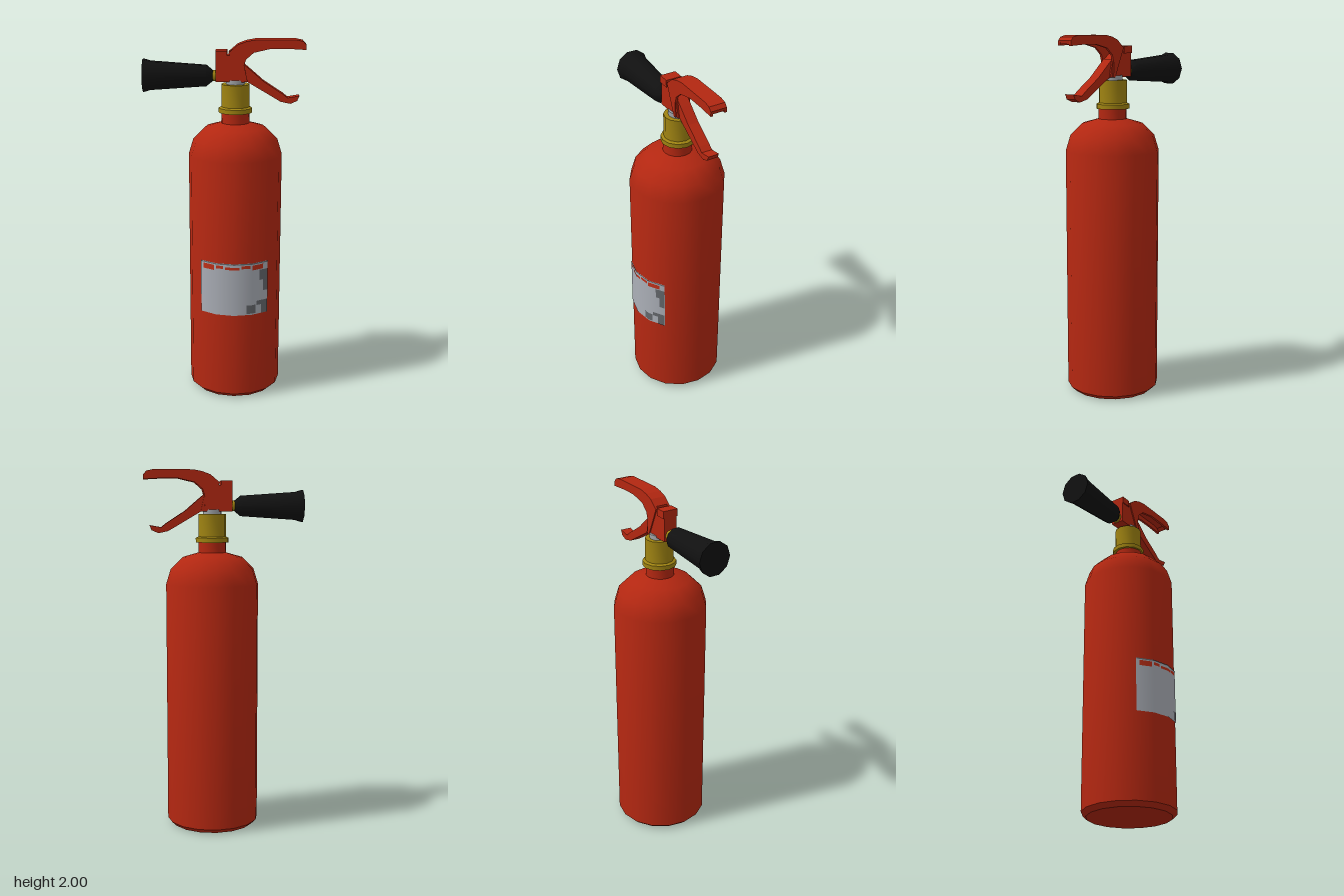
import * as THREE from 'three';
import { toCreasedNormals } from 'three/addons/utils/BufferGeometryUtils.js';

const AXIS = 0.058; // x of the cylinder's axis
const R = 0.258;    // tank radius

const mat = (name, color, side = THREE.FrontSide) => {
  const m = new THREE.MeshStandardMaterial({ color, side });
  m.name = name;
  return m;
};

export function createModel() {
  const group = new THREE.Group();
  const red = mat('red paint', 0xb32711);
  const brass = mat('brass', 0xa08412);
  const black = mat('black plastic', 0x111111, THREE.DoubleSide);
  const steel = mat('steel', 0xa0a4a8);
  const paper = mat('label paper', 0xacb0b8);
  const print = mat('label grey print', 0x65686c);
  const labelRed = mat('label red print', 0xc03018);

  const add = (name, geo, material, x = 0, y = 0, z = 0) => {
    const mesh = new THREE.Mesh(geo, material);
    mesh.name = name;
    mesh.position.set(x, y, z);
    group.add(mesh);
    return mesh;
  };
  const lathe = (pts, sides) =>
    toCreasedNormals(new THREE.LatheGeometry(pts.map(p => new THREE.Vector2(...p)), sides), 0.7);
  // Side outline in x/y, extruded from z0 to z1
  const slab = (pts, z0, z1) => {
    const shape = new THREE.Shape(pts.map(p => new THREE.Vector2(...p)));
    return new THREE.ExtrudeGeometry(shape, { depth: z1 - z0, bevelEnabled: false }).translate(0, 0, z0);
  };

  // Tank with rounded shoulder and neck
  add('tank', lathe([[0, 0], [0.232, 0], [R, 0.025], [R, 1.372], [0.232, 1.457], [0.166, 1.522],
    [0.078, 1.547], [0.076, 1.62]], 16), red, AXIS);

  // Brass collar and steel stem
  add('collar', lathe([[0.07, 1.603], [0.092, 1.603], [0.092, 1.628], [0.077, 1.635],
    [0.077, 1.758], [0, 1.758]], 12), brass, AXIS, 0, -0.004);
  add('stem', new THREE.CylinderGeometry(0.052, 0.052, 0.03, 12), steel, AXIS, 1.768, -0.004);

  // Valve block with a narrower cap
  add('valveBlock', slab([[-0.05, 1.773], [0.124, 1.773], [0.105, 1.86], [0.03, 1.915], [-0.05, 1.915]],
    -0.042, 0.034), red);
  add('valveCap', slab([[-0.05, 1.9], [0.012, 1.9], [0.012, 1.94], [-0.05, 1.94]], -0.048, 0.04), red);

  // Upper lever: a channel open below, made of two cheeks and a roof
  const top = [[0.02, 1.93], [0.034, 1.942], [0.07, 1.973], [0.115, 1.99], [0.167, 2], [0.385, 2], [0.42, 1.992], [0.437, 1.973]];
  const cheek = [...top, [0.437, 1.947], [0.35, 1.952], [0.246, 1.952], [0.156, 1.931], [0.114, 1.894],
    [0.1, 1.846], [0.105, 1.773], [0.09, 1.773]].reverse();
  add('upperLeverCheekLeft', slab(cheek, 0.028, 0.041), red);
  add('upperLeverCheekRight', slab(cheek, -0.049, -0.036), red);
  const roof = top.slice(1).concat(top.slice(1).reverse().map(([x, y]) => [x - 0.004, y - 0.018]));
  add('upperLeverRoof', slab(roof, -0.036, 0.028), red);

  // Lower lever with an upturned tip
  add('lowerLever', slab([[0.08, 1.773], [0.124, 1.772], [0.304, 1.666], [0.357, 1.655], [0.394, 1.671],
    [0.405, 1.698], [0.341, 1.687], [0.315, 1.708], [0.209, 1.777], [0.135, 1.841], [0.1, 1.87]],
    -0.034, 0.026), red);

  // Discharge horn pointing to -x, with a brass joint
  const horn = add('horn', lathe([[0, 0.065], [0.03, 0.065], [0.059, 0.1], [0.081, 0.405],
    [0.093, 0.445], [0, 0.445]], 10), black, 0, 1.803, -0.005);
  horn.rotation.z = Math.PI / 2;
  const joint = add('hornJoint', new THREE.CylinderGeometry(0.03, 0.03, 0.04, 10), brass, -0.06, 1.803, -0.005);
  joint.rotation.z = Math.PI / 2;

  // Thin plate following the tank's facets; x is measured from the axis
  const facets = [-2, -1, 0, 1, 2].map(i => i * Math.PI / 8);
  const wrap = (name, x0, x1, y0, y1, lift, material) => {
    const r = R + lift;
    const xs = [x0, ...facets.map(a => r * Math.sin(a)).filter(x => x > x0 + 1e-4 && x < x1 - 1e-4), x1];
    const geo = new THREE.PlaneGeometry(1, 1, xs.length - 1, 1);
    const pos = geo.attributes.position;
    for (let i = 0; i < pos.count; i++) {
      const x = xs[i % xs.length];
      let k = 0;
      while (k < 3 && x > r * Math.sin(facets[k + 1])) k++;
      const [a, b] = [facets[k], facets[k + 1]];
      const t = (x - r * Math.sin(a)) / (r * (Math.sin(b) - Math.sin(a)));
      const z = r * THREE.MathUtils.lerp(Math.cos(a), Math.cos(b), t);
      pos.setXYZ(i, x, i < xs.length ? y1 : y0, z);
      const n = Math.hypot(x, z);
      geo.attributes.normal.setXYZ(i, x / n, 0, z / n);
    }
    add(name, geo, material, AXIS);
  };
  wrap('label', -0.185, 0.185, 0.507, 0.81, 0.004, paper);
  wrap('labelTopEdge', -0.185, 0.185, 0.803, 0.81, 0.006, print);

  // Worn red heading
  [[-0.17, -0.11, 0.768, 0.798], [-0.1, -0.06, 0.78, 0.797], [-0.05, 0.03, 0.775, 0.79],
    [0.04, 0.09, 0.78, 0.797], [0.1, 0.16, 0.77, 0.797]]
    .forEach(p => wrap('labelHeading', ...p, 0.006, labelRed));

  // Grey worn patches and code square
  [[0.14, 0.185, 0.705, 0.765], [0.16, 0.185, 0.64, 0.705], [0.125, 0.185, 0.56, 0.585],
    [0.15, 0.185, 0.507, 0.56], [0.07, 0.12, 0.515, 0.565]]
    .forEach(p => wrap('labelPatch', ...p, 0.006, print));

  return group;
}
